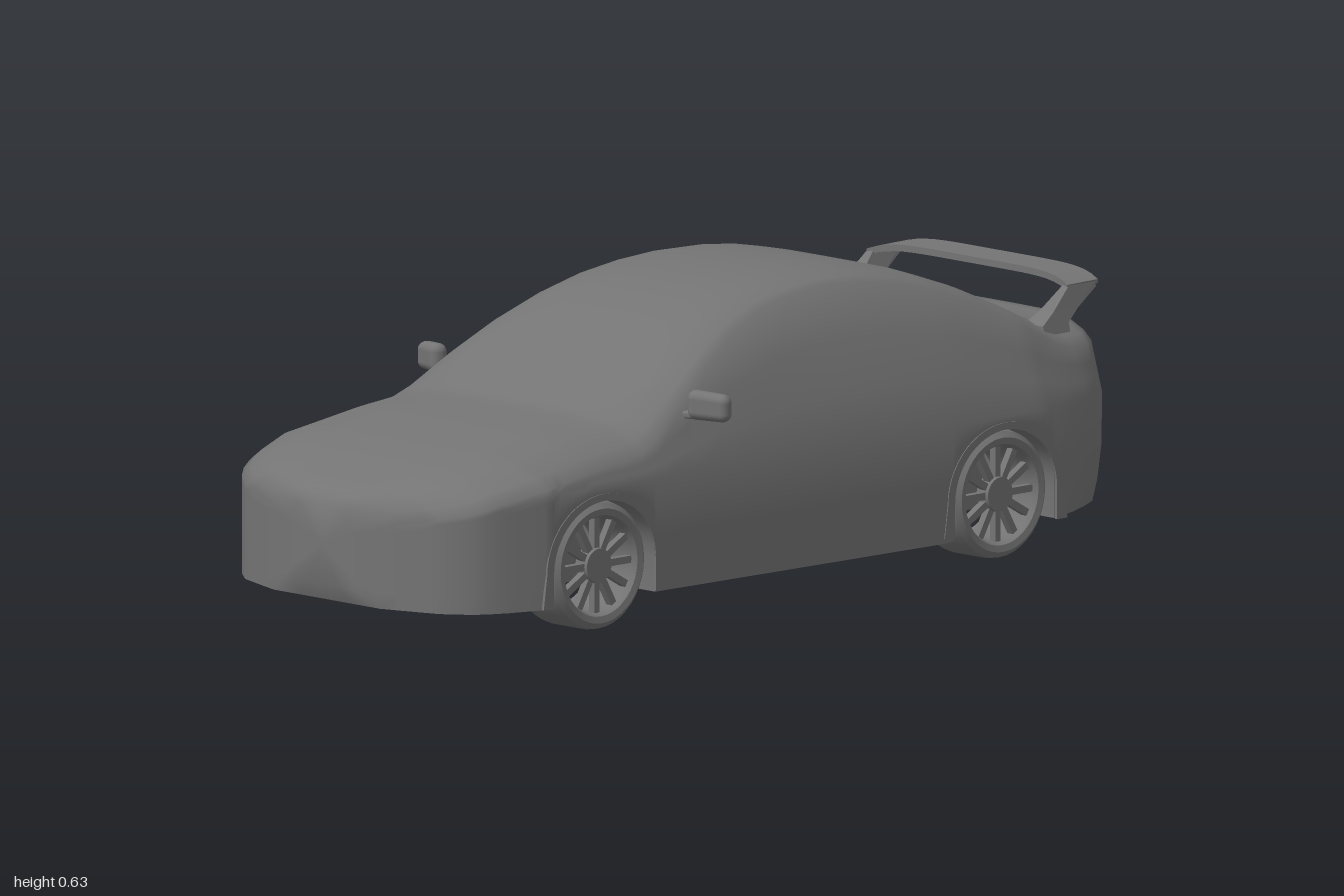
import * as THREE from 'three';
import { toCreasedNormals } from 'three/addons/utils/BufferGeometryUtils.js';
import { RoundedBoxGeometry } from 'three/addons/geometries/RoundedBoxGeometry.js';

const material = new THREE.MeshStandardMaterial({ color: 0x747474 });
const AXLE_Y = 0.135, AXLES = [0.58, -0.585], ARCH_R = 0.148, ARCH_H = 0.138, HALF = 0.405;

// Profiles along the car: [z, value], nose to tail
const TOP = [[1, .27], [.985, .288], [.95, .31], [.85, .346], [.75, .37], [.6, .394], [.5, .403], [.45, .41], [.4, .43],
  [.3, .488], [.2, .54], [.1, .582], [0, .608], [-.1, .622], [-.2, .627], [-.3, .625], [-.4, .613], [-.5, .591],
  [-.6, .556], [-.7, .51], [-.8, .464], [-.85, .452], [-.96, .445], [-.985, .425], [-1, .36]];
const WIDTH = [[1, .09], [.985, .155], [.97, .2], [.94, .285], [.9, .335], [.875, .355], [.83, .376], [.74, HALF],
  [-.7, HALF], [-.8, .39], [-.9, .365], [-.93, .34], [-.965, .302], [-.985, .26], [-1, .19]];
const FLOOR = [[1, .1], [.985, .066], [.4, .063], [-.4, .056], [-.75, .068], [-.9, .075], [-.96, .092], [-.985, .13], [-1, .2]];
const CROWN = [[1, .045], [.9, .055], [.6, .06], [.45, .06], [.3, .05], [0, .026], [-.2, .02], [-.5, .03], [-.8, .05], [-.95, .045], [-1, .06]];
// Inward tuck of the lower edge toward the tail
const TUCK = [[1, 0], [-.75, 0], [-.85, .03], [-.95, .1], [-1, .2]];
// Half width of the side by height: [y, x]
const SIDE = [[.7, .2], [.62, .245], [.6, .262], [.47, .34], [.385, .37], [.3, HALF], [0, HALF]];

// Linear lookup in a table with descending keys
function look(table, k) {
  for (let i = 1; i < table.length; i++) {
    const [k0, v0] = table[i - 1], [k1, v1] = table[i];
    if (k >= k1) return v0 + (v1 - v0) * Math.max(0, (k0 - k) / (k0 - k1));
  }
  return table[table.length - 1][1];
}

function mesh(name, geometry, parent) {
  const m = new THREE.Mesh(geometry, material);
  m.name = name;
  parent.add(m);
  return m;
}

// One body section; sill is the lower edge of the side, raised over wheels
function section(z, sill) {
  const top = look(TOP, z), drop = look(CROWN, z), floor = look(FLOOR, z), w = look(WIDTH, z), tuck = look(TUCK, z);
  const edge = top - drop, belt = Math.min(.3, sill + (edge - sill) * .85);
  const half = y => look(SIDE, y) * w / HALF;
  const pts = [0, .25, .5, .75, .92].map(u => [u * half(edge), edge + drop * (1 - u ** 6)]);
  for (const t of [1, .66, .33]) pts.push([half(belt + (edge - belt) * t), belt + (edge - belt) * t]);
  for (const t of [1, .5, .2, 0]) {
    pts.push([half(belt) * (1 - tuck * (1 - t) ** 4), sill + (belt - sill) * t]);
  }
  const inner = Math.min(.2, w * .5);
  pts.push([inner, sill], [inner, floor], [0, floor]);
  const mirrored = pts.slice(1, -1).reverse().map(([x, y]) => [-x, y]);
  return [...pts, ...mirrored].map(([x, y]) => new THREE.Vector3(x, y, z));
}

// Lofted shell with the wheel wells formed by the raised sill
function bodyGeometry() {
  const stations = [];
  const zs = [...new Set([...TOP, ...WIDTH, ...FLOOR].map(p => p[0]))];
  for (const z of zs) {
    if (AXLES.every(a => Math.abs(z - a) > ARCH_R + .004)) stations.push([z, look(FLOOR, z)]);
  }
  for (const a of AXLES) {
    stations.push([a + ARCH_R + 1e-5, look(FLOOR, a + ARCH_R)]);
    for (let i = 0; i <= 16; i++) {
      const t = Math.PI * i / 16;
      stations.push([a + ARCH_R * Math.cos(t), AXLE_Y + ARCH_H * Math.sin(t)]);
    }
    stations.push([a - ARCH_R - 1e-5, look(FLOOR, a - ARCH_R)]);
  }
  stations.sort((p, q) => q[0] - p[0]);
  const rings = stations.map(([z, sill]) => section(z, sill));
  const pos = [], n = rings[0].length, ab = new THREE.Vector3(), ac = new THREE.Vector3();
  const tri = (a, b, c) => {
    ab.subVectors(b, a);
    ac.subVectors(c, a);
    if (ab.cross(ac).length() > 1e-8) pos.push(...a, ...b, ...c);
  };
  for (let i = 0; i < rings.length - 1; i++) {
    for (let j = 0; j < n; j++) {
      const k = (j + 1) % n, p = rings[i], q = rings[i + 1];
      tri(p[j], p[k], q[j]);
      tri(p[k], q[k], q[j]);
    }
  }
  // Nose and tail caps
  const first = rings[0], last = rings[rings.length - 1];
  const middle = ring => new THREE.Vector3(0, (ring[0].y + look(FLOOR, ring[0].z)) / 2, ring[0].z);
  const nose = middle(first), tail = middle(last);
  for (let j = 0; j < n; j++) {
    const k = (j + 1) % n;
    tri(nose, first[k], first[j]);
    tri(tail, last[j], last[k]);
  }
  const g = new THREE.BufferGeometry();
  g.setAttribute('position', new THREE.Float32BufferAttribute(pos, 3));
  return toCreasedNormals(g, 1.15);
}

// Thin raised border around a wheel opening
function archLipGeometry() {
  const s = new THREE.Shape();
  s.moveTo(.178, .066);
  s.lineTo(.168, AXLE_Y);
  s.absellipse(0, AXLE_Y, .168, .153, 0, Math.PI, false);
  s.lineTo(-.178, .066);
  s.lineTo(-ARCH_R, .066);
  s.lineTo(-ARCH_R, AXLE_Y);
  s.absellipse(0, AXLE_Y, ARCH_R, ARCH_H, Math.PI, 0, true);
  s.lineTo(ARCH_R, .066);
  return new THREE.ExtrudeGeometry(s, { depth: .006, bevelEnabled: false, curveSegments: 20 }).rotateY(Math.PI / 2);
}

// Wheel whose outer face looks along +x
function makeWheel() {
  const wheel = new THREE.Group();
  const profile = [[.095, -.06], [.12, -.065], [.132, -.055], [.135, -.04], [.135, .04], [.132, .055],
    [.12, .065], [.106, .062], [.1, .05], [.095, -.06]].map(([r, y]) => new THREE.Vector2(r, y));
  const tyre = toCreasedNormals(new THREE.LatheGeometry(profile, 40), .6);
  mesh('tyre', tyre.rotateZ(-Math.PI / 2), wheel);
  const hub = mesh('hub', new THREE.CylinderGeometry(.036, .04, .03, 24).rotateZ(-Math.PI / 2), wheel);
  hub.position.x = .042;
  for (let i = 0; i < 12; i++) {
    const spoke = mesh('spoke', new THREE.BoxGeometry(.016, .07, .015).translate(.042, .066, 0), wheel);
    spoke.rotation.x = i * Math.PI / 6;
  }
  return wheel;
}

// Rear wing: blade drooping at its ends, slim legs with feet spreading inward
function makeSpoiler() {
  const spoiler = new THREE.Group();
  spoiler.name = 'spoiler';
  const blade = new THREE.BoxGeometry(.59, .014, .088, 24, 1, 1);
  const p = blade.attributes.position;
  for (let i = 0; i < p.count; i++) {
    const u = (p.getX(i) / .295) ** 6, rear = p.getZ(i) < 0;
    p.setXYZ(i, p.getX(i), .538 + p.getY(i) * (rear ? .6 : 1) + (rear ? .004 : 0) - .02 * u, -.932 + p.getZ(i) + .014 * u);
  }
  mesh('spoilerBlade', toCreasedNormals(blade, .6), spoiler);

  const side = new THREE.Shape([[-.79, .43], [-.79, .45], [-.825, .475], [-.878, .523], [-.955, .523], [-.955, .512],
    [-.895, .475], [-.865, .45], [-.865, .43]].map(([z, y]) => new THREE.Vector2(-z, y)));
  for (const s of [-1, 1]) {
    const leg = new THREE.ExtrudeGeometry(side, { depth: 1, bevelEnabled: false }).rotateY(Math.PI / 2);
    const q = leg.attributes.position;
    for (let i = 0; i < q.count; i++) {
      const h = Math.min(1, (q.getY(i) - .43) / .09);
      const inner = .232 + .046 * Math.sqrt(h), outer = .312 - .017 * h, t = s > 0 ? q.getX(i) : 1 - q.getX(i);
      q.setX(i, s * (inner + (outer - inner) * t));
    }
    leg.computeVertexNormals();
    mesh('spoilerLeg', leg, spoiler);
  }
  return spoiler;
}

// Door mirror on the +x side, tapering toward its tip
function makeMirror() {
  const mirror = new THREE.Group();
  const shell = new RoundedBoxGeometry(.094, .062, .038, 5, .018);
  const p = shell.attributes.position;
  for (let i = 0; i < p.count; i++) p.setY(i, p.getY(i) * (1 - 2 * Math.max(0, p.getX(i))) - .06 * p.getX(i));
  mesh('mirrorShell', shell, mirror);
  const stalk = mesh('mirrorStalk', new RoundedBoxGeometry(.06, .016, .022, 2, .006), mirror);
  stalk.position.set(-.045, -.02, 0);
  mirror.position.set(.407, .432, .276);
  mirror.rotation.y = .4;
  return mirror;
}

export function createModel() {
  const car = new THREE.Group();
  car.name = 'car';
  mesh('body', bodyGeometry(), car);
  car.add(makeSpoiler());
  for (const s of [1, -1]) {
    const turn = s > 0 ? 0 : Math.PI;
    for (const z of AXLES) {
      const wheel = makeWheel();
      wheel.name = z > 0 ? 'frontWheel' : 'rearWheel';
      wheel.position.set(s * .333, AXLE_Y, z);
      wheel.rotation.y = turn;
      car.add(wheel);
      const lip = mesh('archLip', archLipGeometry(), car);
      lip.position.set(s > 0 ? .401 : -.401, 0, z);
      lip.rotation.y = turn;
    }
    const mirror = makeMirror();
    mirror.name = s > 0 ? 'leftMirror' : 'rightMirror';
    const holder = new THREE.Group();
    holder.scale.x = s;
    holder.add(mirror);
    car.add(holder);
  }
  return car;
}
